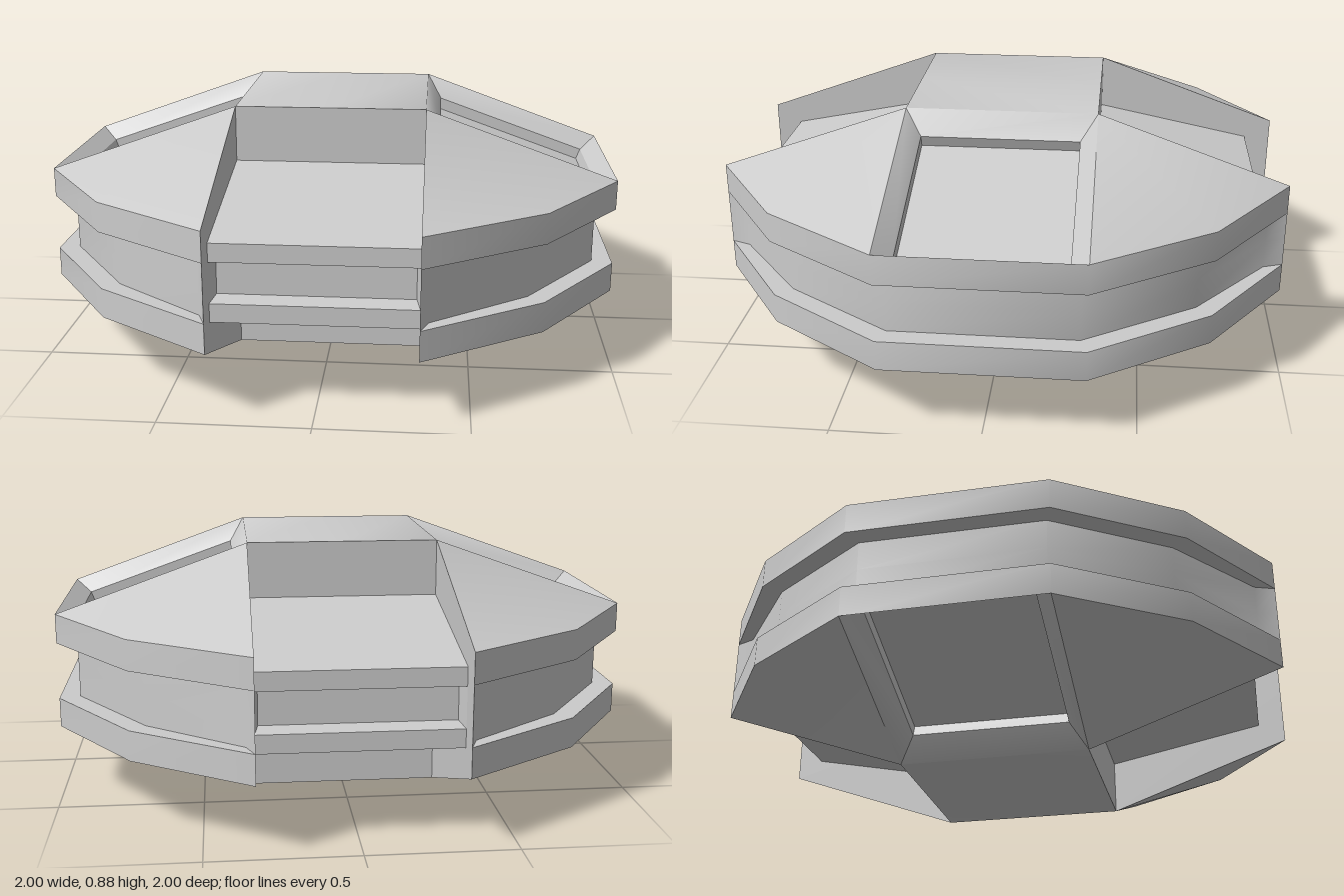
import * as THREE from 'three';
import { toCreasedNormals } from 'three/addons/utils/BufferGeometryUtils.js';

const H = 0.885, MID = H / 2;      // total height, mid plane
const TOP = 0.645, LIP = 0.542;    // upper and lower edge of the upper rim
const UP = [0, 1, 0], DOWN = [0, -1, 0], OUT = [1, 0, 0];

// The four symmetric copies: half turn about y, and mirror across the mid plane.
const COPIES = [[1, 1], [-1, 1], [1, -1], [-1, -1]];

// faces: list of [corners, direction the face looks toward]
function makePart(name, faces, crease) {
  const pos = [];
  for (const [r, m] of COPIES) {
    for (const [corners, look] of faces) {
      const pts = corners.map(([x, y, z]) => new THREE.Vector3(r * x, m > 0 ? y : H - y, r * z));
      const dir = new THREE.Vector3(r * look[0], m * look[1], r * look[2]);
      const n = pts[1].clone().sub(pts[0]).cross(pts[2].clone().sub(pts[0]));
      if (n.dot(dir) < 0) pts.reverse();
      for (let i = 1; i < pts.length - 1; i++) {
        for (const p of [pts[0], pts[i], pts[i + 1]]) pos.push(p.x, p.y, p.z);
      }
    }
  }
  const geo = new THREE.BufferGeometry();
  geo.setAttribute('position', new THREE.Float32BufferAttribute(pos, 3));
  const mesh = new THREE.Mesh(toCreasedNormals(geo, crease),
    new THREE.MeshStandardMaterial({ color: 0xcccccc }));
  mesh.name = name;
  return mesh;
}

// Corners of a rectangle sloping along x, in loop order
const slopedRect = (x0, y0, x1, y1, z) => [[x0, y0, z], [x1, y1, z], [x1, y1, -z], [x0, y0, -z]];

// Side outline (x, z) and the inset outline of the groove
const outline = [[0.333, 1], [0.73, 0.73], [1, 0.333], [1, -0.333], [0.73, -0.73], [0.333, -1]];
const inset = [[0.36, 0.93], [0.68, 0.68], [0.93, 0.31], [0.93, -0.31], [0.68, -0.68], [0.36, -0.93]];

export function createModel() {
  const group = new THREE.Group();
  const outer = slopedRect(0.333, H, 1, TOP, 0.333);
  const hole = slopedRect(0.385, 0.8, 0.94, 0.603, 0.275);
  const floor = slopedRect(0.371, 0.762, 0.926, 0.565, 0.275);

  // Sloping shell: centre plate, corner facets and the dished frame of the side pit
  const shell = [[[[0, H, 0.333], [0.333, H, 0.333], [0.333, H, -0.333], [0, H, -0.333]], UP]];
  for (const s of [1, -1]) {
    const a = [0.333, H, 0.333 * s], b = [1, TOP, 0.333 * s];
    const c = [0.73, TOP, 0.73 * s], d = [0.333, TOP, s];
    shell.push([[a, b, c], UP], [[a, c, d], UP]);
  }
  const pit = [[floor, UP]];
  const pitLook = [[0, 0, -1], [-1, 0, 0], [0, 0, 1], [1, 0, 0]];
  for (let i = 0; i < 4; i++) {
    const j = (i + 1) % 4;
    shell.push([[outer[i], outer[j], hole[j], hole[i]], UP]);
    pit.push([[hole[i], hole[j], floor[j], floor[i]], pitLook[i]]);
  }
  group.add(makePart('slopingShell', shell, 0.95), makePart('sidePits', pit, 0.5));

  // Rim band with the groove beneath it
  const rim = [], groove = [];
  const at = ([x, z], y) => [x, y, z];
  for (let i = 0; i < outline.length - 1; i++) {
    const [p, q, a, b] = [outline[i], outline[i + 1], inset[i], inset[i + 1]];
    const look = [p[0] + q[0], 0, p[1] + q[1]];
    rim.push([[at(p, TOP), at(q, TOP), at(q, LIP), at(p, LIP)], look]);
    groove.push([[at(p, LIP), at(q, LIP), at(b, LIP), at(a, LIP)], DOWN]);
    groove.push([[at(a, LIP), at(b, LIP), at(b, MID), at(a, MID)], look]);
  }
  for (const i of [0, outline.length - 1]) {
    const [p, a] = [outline[i], inset[i]];
    groove.push([[at(p, LIP), at(a, LIP), at(a, MID), at(p, MID)], OUT]);
  }
  group.add(makePart('rim', rim, 0.7), makePart('rimGroove', groove, 0.7));

  // Flat cheeks on both sides of the front and back channels
  const cheeks = [1, -1].map((s) => [[[0.333, MID, 0.333 * s], [0.333, MID, s],
    [0.333, TOP, s], [0.333, H, 0.333 * s]], [-1, 0, 0]]);
  group.add(makePart('channelCheeks', cheeks, 0.5));

  // Sunken front and back channel: profile (half width, y, z) swept across x
  const profile = [[0.333, H, 0.333], [0.333, 0.69, 0.333], [0.333, 0.575, 0.905],
    [0.333, 0.512, 0.905], [0.32, 0.502, 0.84], [0.32, MID, 0.84]];
  const looks = [[0, 0, 1], UP, [0, 0, 1], DOWN, [0, 0, 1]];
  const channel = looks.map((look, i) => {
    const [[w, y, z], [v, t, u]] = [profile[i], profile[i + 1]];
    return [[[-w, y, z], [w, y, z], [v, t, u], [-v, t, u]], look];
  });
  for (const s of [1, -1]) {
    channel.push([[[0.333 * s, 0.512, 0.905], [0.32 * s, 0.502, 0.84],
      [0.32 * s, MID, 0.84], [0.333 * s, MID, 0.905]], [-s, 0, 0]]);
  }
  group.add(makePart('endChannels', channel, 0.5));
  return group;
}
